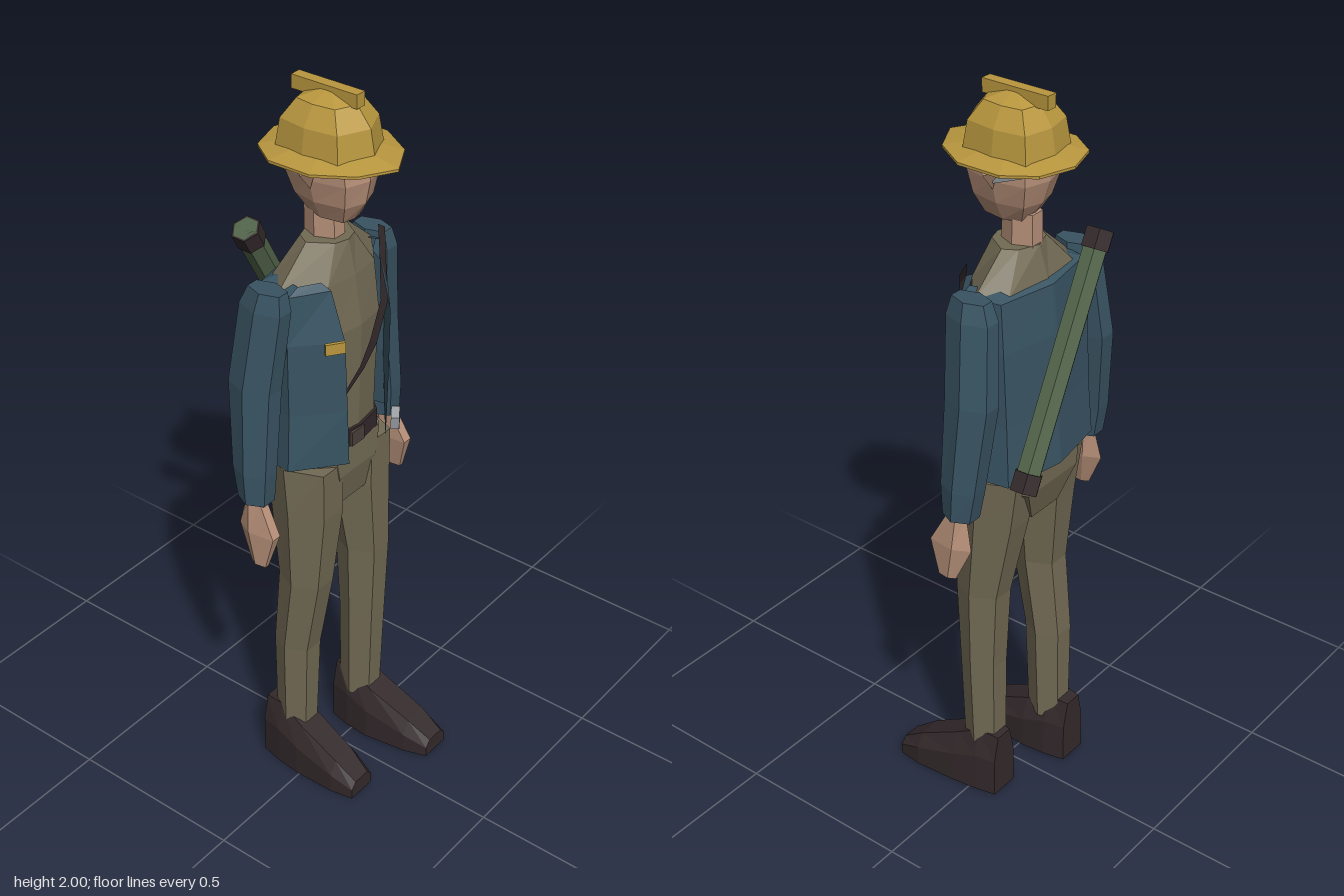
import * as THREE from 'three';

const mat = (name, color, side = THREE.FrontSide) =>
  Object.assign(new THREE.MeshStandardMaterial({ color, flatShading: true, side }), { name });

// Skin a list of rings (bottom to top, each running front, left, back, right)
function loft(rings, closed = true) {
  const pos = [];
  const tri = (...p) => p.forEach(v => pos.push(...v));
  const n = rings[0].length;
  for (let r = 0; r < rings.length - 1; r++) {
    const a = rings[r], b = rings[r + 1];
    for (let i = 0; i < (closed ? n : n - 1); i++) {
      const j = (i + 1) % n;
      tri(a[i], a[j], b[j]);
      tri(a[i], b[j], b[i]);
    }
  }
  if (closed) {
    const mid = ring => [0, 1, 2].map(k => ring.reduce((s, p) => s + p[k], 0) / n);
    const lo = rings[0], hi = rings[rings.length - 1];
    for (let i = 0; i < n; i++) {
      const j = (i + 1) % n;
      tri(mid(lo), lo[j], lo[i]);
      tri(mid(hi), hi[i], hi[j]);
    }
  }
  const g = new THREE.BufferGeometry();
  g.setAttribute('position', new THREE.Float32BufferAttribute(pos, 3));
  g.computeVertexNormals();
  return g;
}

// Symmetric ring from its left half [x, z], listed front to back
function sym(y, half) {
  const left = half.map(([x, z]) => [x, y, z]);
  const right = half.filter(([x]) => x > 0).reverse().map(([x, z]) => [-x, y, z]);
  return [...left, ...right];
}

// Elliptical ring between x limits and z limits
function oval(y, x0, x1, z0, z1, n = 6) {
  return Array.from({ length: n }, (_, i) => {
    const a = (i + 0.5) / n * Math.PI * 2;
    const k = 1 / Math.cos(Math.PI / n);
    return [(x0 + x1) / 2 + Math.sin(a) * (x1 - x0) / 2, y,
      (z0 + z1) / 2 + Math.cos(a) * k * (z1 - z0) / 2];
  });
}

// Mirror rings to the right side, keeping the corner order
const sided = (rings, s) => s > 0 ? rings : rings.map(r => r.map(([x, y, z]) => [-x, y, z]).reverse());

export function createModel() {
  const model = new THREE.Group();
  const yellow = mat('helmetYellow', 0xb9973f);
  const skin = mat('skin', 0xb8917a);
  const grey = mat('greyHair', 0x8f959b);
  const blue = mat('jacketBlue', 0x395463, THREE.DoubleSide);
  const khaki = mat('khaki', 0x726a54);
  const dark = mat('darkLeather', 0x33292b);
  const green = mat('tubeGreen', 0x52644a);
  const silver = mat('silver', 0x92959a);
  const buckleMat = mat('buckleBrown', 0x4a403c);

  const add = (name, geo, material, p = [0, 0, 0]) => {
    const m = new THREE.Mesh(geo, material);
    m.name = name;
    m.position.set(...p);
    model.add(m);
    return m;
  };

  // Helmet: brim, faceted dome and crest
  const brim = [[0, 0.172], [0.09, 0.122], [0.147, 0.03], [0.147, -0.09], [0.095, -0.165], [0, -0.195]];
  const grow = (pts, k) => pts.map(([x, z]) => [x * k, -0.02 + (z + 0.02) * k]);
  add('helmetBrim', loft([sym(1.838, brim), sym(1.845, brim), sym(1.858, grow(brim, 0.66))]), yellow);
  const dome = (y, k, dz = 0) => sym(y, [[0, 0.105], [0.087, 0.065], [0.1, -0.03], [0.087, -0.12], [0, -0.14]]
    .map(([x, z]) => [x * k, -0.025 + (z + 0.025) * k + dz]));
  add('helmetDome', loft([dome(1.848, 1), dome(1.92, 0.9), dome(1.968, 0.6), dome(1.992, 0.06)]), yellow);
  add('helmetCrest', new THREE.BoxGeometry(0.03, 0.035, 0.19), yellow, [0, 1.9825, -0.032]);

  // Head, ears, hair and neck
  add('head', loft([
    sym(1.68, [[0, 0.048], [0.035, 0.04], [0.045, -0.02], [0.03, -0.065], [0, -0.07]]),
    sym(1.73, [[0, 0.08], [0.055, 0.06], [0.07, -0.02], [0.055, -0.09], [0, -0.105]]),
    sym(1.79, [[0, 0.092], [0.065, 0.07], [0.085, -0.02], [0.07, -0.105], [0, -0.125]]),
    sym(1.85, [[0, 0.085], [0.07, 0.065], [0.088, -0.02], [0.07, -0.105], [0, -0.125]]),
  ]), skin);
  add('neck', loft([oval(1.58, -0.04, 0.04, -0.09, 0.005), oval(1.7, -0.04, 0.04, -0.09, 0)]), skin);
  const hairSide = mat('greyHair', 0x8f959b, THREE.DoubleSide);
  hairSide.name = grey.name;
  const hairTop = [[0.088, 0], [0.092, -0.03], [0.077, -0.11], [0, -0.132]];
  const hairLow = sym(1.818, hairTop).map((p, i) => (i === 1 || i === 5) ? [p[0], 1.79, p[2]] : p);
  add('hair', loft([hairLow, sym(1.85, hairTop)], false), hairSide);
  for (const s of [1, -1]) {
    const ear = add(s > 0 ? 'leftEar' : 'rightEar', new THREE.ConeGeometry(0.025, 0.055, 4), skin, [s * 0.088, 1.795, -0.02]);
    ear.rotation.set(Math.PI, 0, s * 0.25);
  }

  // Shirt, pelvis and belt
  const body = (y, w, f, b) => sym(y, [[0, f], [w * 0.5, f - 0.012], [w, -0.04], [w * 0.72, b + 0.02], [0, b]]);
  add('shirt', loft([body(1.02, 0.16, 0.06, -0.13), body(1.2, 0.155, 0.065, -0.125), body(1.4, 0.17, 0.07, -0.13),
    body(1.53, 0.18, 0.05, -0.125), body(1.62, 0.075, 0.03, -0.095)]), khaki);
  add('pelvis', loft([
    sym(0.885, [[0.055, 0.045], [0.06, -0.04], [0.055, -0.12]]),
    sym(0.98, [[0.075, 0.062], [0.165, -0.03], [0.1, -0.145]]),
    sym(1.06, [[0.09, 0.06], [0.178, -0.03], [0.11, -0.145]]),
  ]), khaki);
  add('belt', loft([body(1.06, 0.165, 0.07, -0.135), body(1.11, 0.165, 0.07, -0.135)]), dark);
  add('beltBuckle', new THREE.BoxGeometry(0.05, 0.04, 0.008), buckleMat, [-0.015, 1.085, 0.07]);

  // Open jacket, folded in at the shoulders
  const coat = (y, open, f, w, b) => sym(y, [[open, f], [w, -0.005], [w * 0.88, b + 0.03], [0.004, b]]);
  add('jacket', loft([coat(1.04, 0.075, 0.092, 0.197, -0.168), coat(1.2, 0.082, 0.092, 0.19, -0.158),
    coat(1.4, 0.09, 0.09, 0.192, -0.15), coat(1.53, 0.095, 0.052, 0.185, -0.138),
    coat(1.545, 0.1, 0.025, 0.15, -0.11)], false), blue);
  add('badge', new THREE.BoxGeometry(0.05, 0.03, 0.009), yellow, [-0.126, 1.4, 0.088]).rotation.y = -0.6;
  const flask = add('hexClasp', new THREE.CylinderGeometry(0.034, 0.034, 0.022, 6), silver, [0.157, 1.045, 0.062]);
  flask.rotation.set(Math.PI / 2, 0, -0.6);

  for (const s of [1, -1]) {
    const side = s > 0 ? 'left' : 'right';
    // Sleeve and hand
    add(side + 'Sleeve', loft(sided([
      oval(0.975, 0.218, 0.3, -0.1, -0.015), oval(1.06, 0.212, 0.3, -0.115, -0.01),
      oval(1.29, 0.185, 0.281, -0.138, -0.01), oval(1.5, 0.165, 0.25, -0.12, 0.005),
      oval(1.548, 0.17, 0.235, -0.1, -0.005)], s)), blue);
    add(side + 'Hand', loft(sided([
      oval(0.795, 0.272, 0.294, -0.052, -0.008, 5), oval(0.89, 0.25, 0.298, -0.088, 0.018, 5),
      oval(0.98, 0.245, 0.288, -0.075, -0.03, 5)], s)), skin);
    // Trouser leg, left foot leading slightly
    const d = s > 0 ? 0.025 : -0.025;
    add(side + 'Leg', loft(sided([
      oval(0.13, 0.06, 0.16, -0.085 + d, 0.015 + d), oval(0.42, 0.052, 0.167, -0.085 + d, 0.025 + d),
      oval(0.65, 0.045, 0.17, -0.08 + d * 0.4, 0.05 + d * 0.4), oval(0.88, 0.02, 0.175, -0.115, 0.06),
      oval(1.02, 0.02, 0.177, -0.135, 0.06)], s)), khaki);
    // Boot: cross-sections from heel to toe, [z, half width, height, x shift]
    const heel = s > 0 ? -0.078 : -0.14, turn = s > 0 ? 0.022 : 0.006;
    const sections = [[0, 0.042, 0.19, 0], [0.06, 0.055, 0.195, 0], [0.13, 0.062, 0.155, 0.1],
      [0.25, 0.057, 0.095, 0.7], [0.315, 0.043, 0.05, 1]];
    const boot = sections.map(([z, w, h, k]) => {
      const x = s * (0.112 + turn * k + 0.004);
      return [[-w, 0], [w, 0], [w, h * 0.6], [w * 0.6, h], [-w * 0.6, h], [-w, h * 0.6]]
        .map(([px, py]) => [x + px, py, heel + z]);
    });
    add(side + 'Boot', loft(boot), dark);
  }

  // Chest strap, partly tucked under the jacket
  const path = [[0.155, 1.585, 0.01], [0.115, 1.53, 0.045], [0.095, 1.42, 0.066], [0.04, 1.335, 0.076],
    [0, 1.28, 0.073], [-0.085, 1.195, 0.058]];
  const half = [0.014, 0.013, 0.014, 0.014, 0.009, 0.003];
  const strap = path.map(([x, y, z], i) => [[x - half[i], y + half[i] * 0.7, z], [x + half[i], y - half[i] * 0.7, z]]);
  add('chestStrap', loft(strap, false), mat('darkLeather', 0x33292b, THREE.DoubleSide));

  // Carrying tube slung across the back with end caps
  const a = new THREE.Vector3(0.195, 1.065, -0.2), b = new THREE.Vector3(-0.132, 1.635, -0.177);
  const dir = b.clone().sub(a).normalize();
  const rod = (name, p, q, r, m) => {
    const c = p.clone().add(q).multiplyScalar(0.5);
    const mesh = add(name, new THREE.CylinderGeometry(r, r, p.distanceTo(q), 6), m, c.toArray());
    mesh.quaternion.setFromUnitVectors(new THREE.Vector3(0, 1, 0), dir);
  };
  rod('backTube', a, b, 0.033, green);
  rod('tubeLowerCap', a, a.clone().addScaledVector(dir, 0.05), 0.038, dark);
  rod('tubeUpperCap', b.clone().addScaledVector(dir, -0.05), b, 0.038, dark);

  return model;
}
